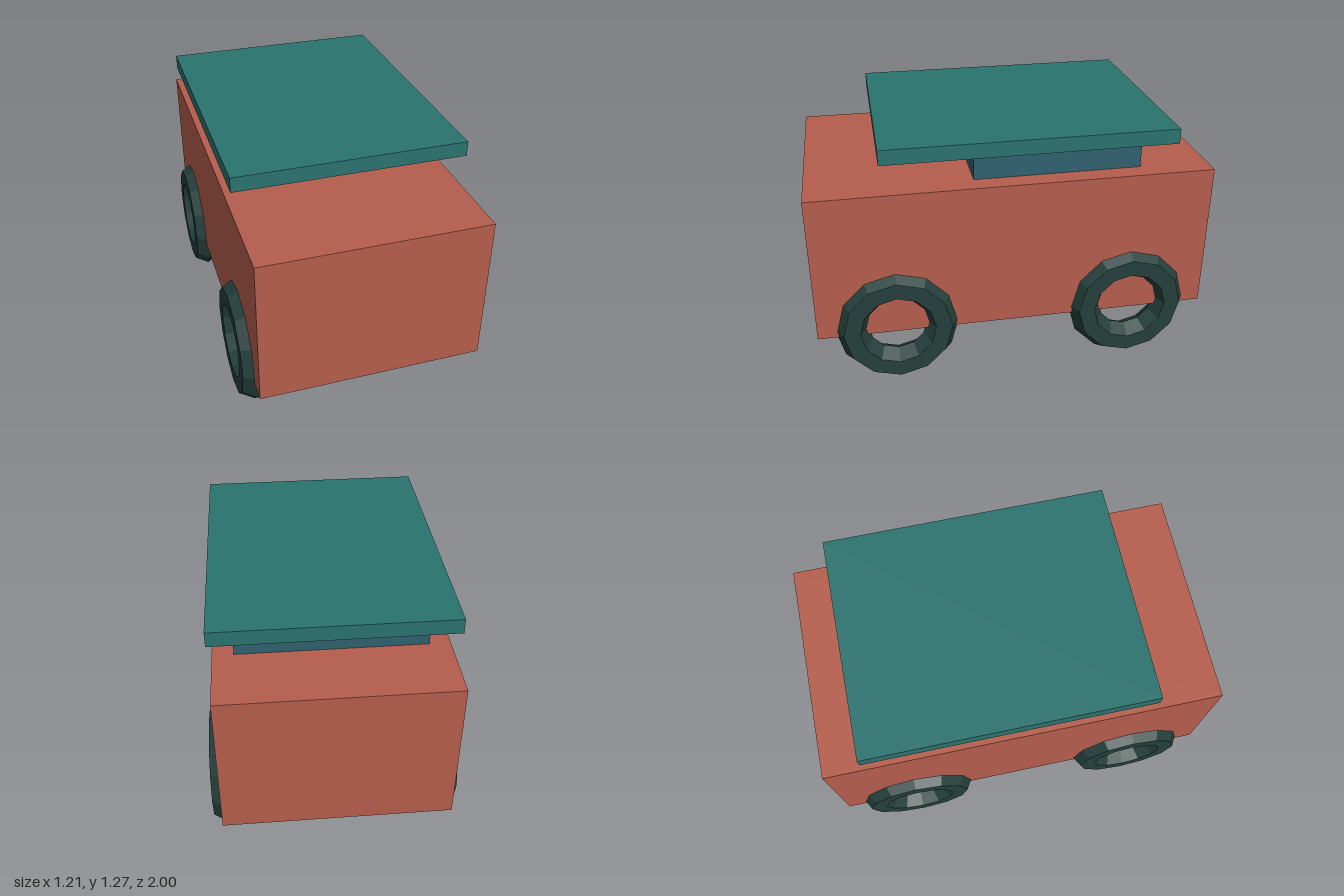
import * as THREE from 'three';

const material = (color) => new THREE.MeshStandardMaterial({ color, flatShading: true });

// Box given by its half width, height range and depth range
function block(name, halfWidth, [y0, y1], [z0, z1], color) {
  const mesh = new THREE.Mesh(
    new THREE.BoxGeometry(halfWidth * 2, y1 - y0, z1 - z0),
    material(color)
  );
  mesh.name = name;
  mesh.position.set(0, (y0 + y1) / 2, (z0 + z1) / 2);
  return mesh;
}

export function createModel() {
  const car = new THREE.Group();
  car.name = 'boxCar';

  // Body, cabin and overhanging roof that floats just above the cabin
  car.add(block('body', 0.557, [0.283, 1.043], [-1, 1], 0xb55d4c));
  car.add(block('cabin', 0.456, [1.043, 1.191], [-0.65, 0.19], 0x2f6170));
  car.add(block('roof', 0.57, [1.202, 1.277], [-0.795, 0.645], 0x2a736f));

  // Four ring tyres with a hexagonal section, half sunk into the body sides
  const tyre = new THREE.TorusGeometry(0.23, 0.0825, 6, 12).rotateY(Math.PI / 2);
  const rubber = material(0x243f3c);
  for (const [side, x] of [['Left', 0.536], ['Right', -0.536]]) {
    for (const [end, z] of [['front', 0.6], ['back', -0.6]]) {
      const wheel = new THREE.Mesh(tyre, rubber);
      wheel.name = `${end}${side}Wheel`;
      wheel.position.set(x, 0.316, z);
      car.add(wheel);
    }
  }
  return car;
}
